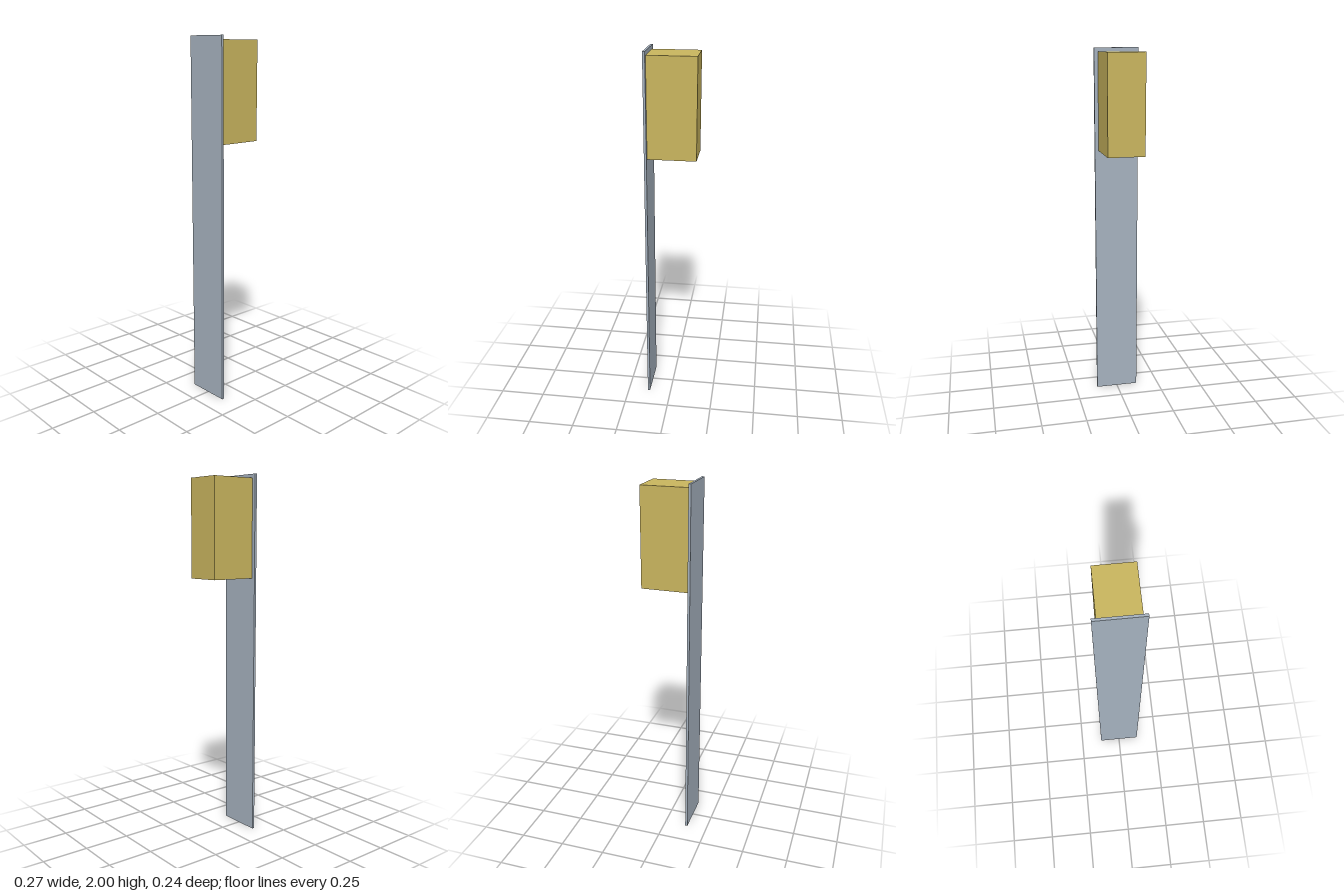
import * as THREE from 'three';

export function createModel() {
  const model = new THREE.Group();
  model.name = 'wallBox';

  const steel = new THREE.MeshStandardMaterial({ color: 0xa5b1be });
  steel.name = 'greySteel';
  const ochre = new THREE.MeshStandardMaterial({ color: 0xc9b55e });
  ochre.name = 'ochre';

  // Box placed by its minimum and maximum corners
  function addBox(name, material, min, max) {
    const size = max.map((v, i) => v - min[i]);
    const mesh = new THREE.Mesh(new THREE.BoxGeometry(...size), material);
    mesh.position.set(...max.map((v, i) => (v + min[i]) / 2));
    mesh.name = name;
    model.add(mesh);
  }

  // Tall thin plate standing on the ground
  addBox('backPlate', steel, [-0.136, 0, -0.122], [-0.123, 2, 0.122]);

  // Housing fixed near the top of the plate
  addBox('housing', ochre, [-0.123, 1.445, -0.101], [0.136, 1.979, 0.101]);

  return model;
}
